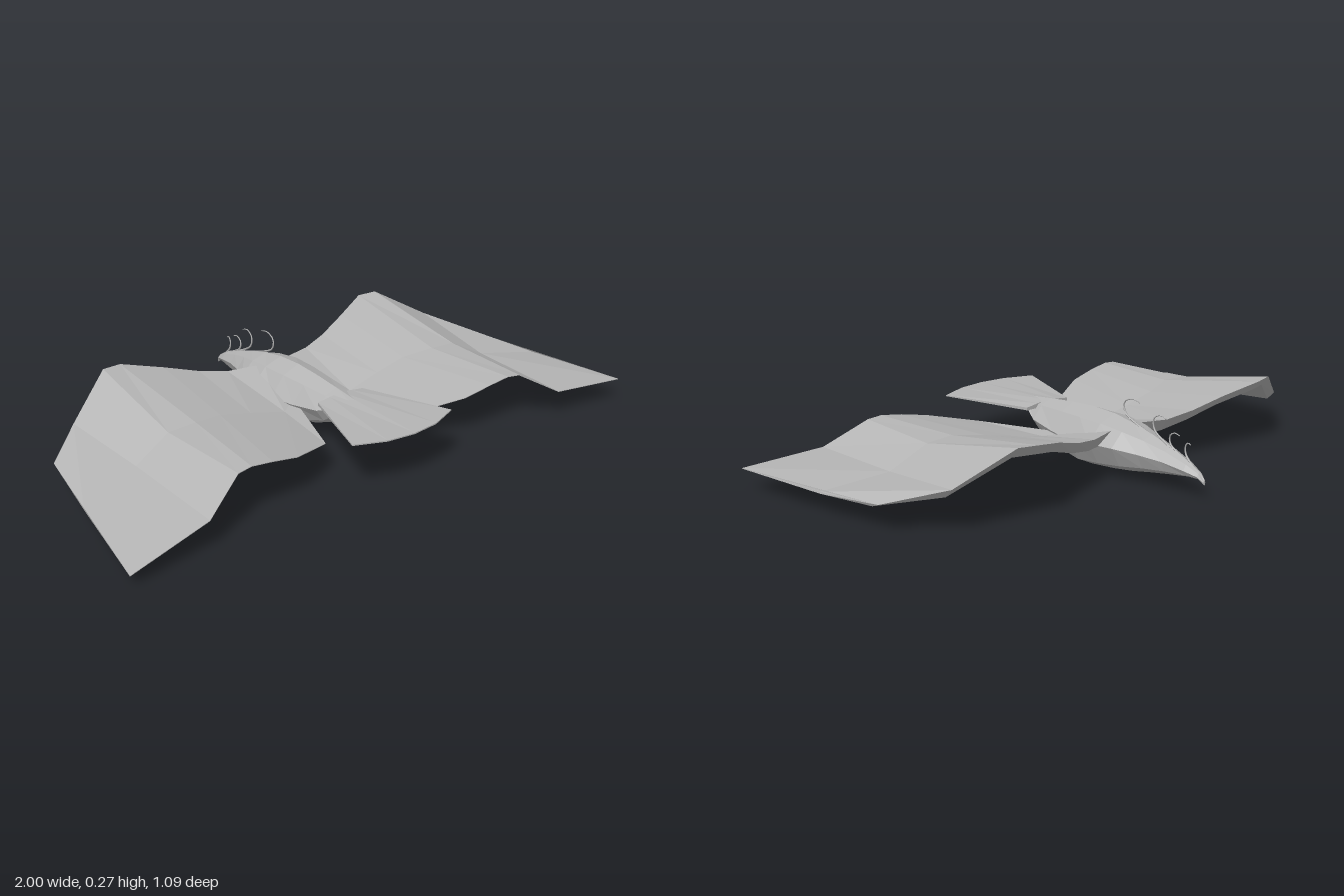
import * as THREE from 'three';

// Skin a series of equal-length closed rings, faceted, with capped ends.
function loft(rings, flip = false) {
  const pos = [];
  const n = rings[0].length;
  const tri = (a, b, c) => pos.push(...a, ...(flip ? c : b), ...(flip ? b : c));
  for (let i = 0; i < rings.length - 1; i++) {
    for (let j = 0; j < n; j++) {
      const k = (j + 1) % n;
      const [p, q] = [rings[i], rings[i + 1]];
      tri(p[j], p[k], q[k]);
      tri(p[j], q[k], q[j]);
    }
  }
  const [first, last] = [rings[0], rings[rings.length - 1]];
  for (let j = 1; j < n - 1; j++) {
    tri(first[0], first[j + 1], first[j]);
    tri(last[0], last[j], last[j + 1]);
  }
  const g = new THREE.BufferGeometry();
  g.setAttribute('position', new THREE.Float32BufferAttribute(pos, 3));
  g.computeVertexNormals();
  return g;
}

// Body sections from beak to rump: z, half width, top, side height, keel
const BODY = [
  [-0.545, 0.004, 0.065, 0.056, 0.046],
  [-0.525, 0.014, 0.085, 0.072, 0.062],
  [-0.48, 0.028, 0.11, 0.085, 0.06],
  [-0.4, 0.045, 0.14, 0.1, 0.048],
  [-0.32, 0.07, 0.165, 0.11, 0.035],
  [-0.24, 0.105, 0.185, 0.12, 0.02],
  [-0.15, 0.12, 0.2, 0.12, 0.008],
  [-0.05, 0.115, 0.205, 0.11, 0],
  [0.05, 0.1, 0.2, 0.115, 0.02],
  [0.16, 0.085, 0.19, 0.13, 0.066],
  [0.26, 0.04, 0.18, 0.165, 0.15],
];

function bodyGeometry() {
  return loft(BODY.map(([z, w, t, s, b]) => {
    const low = b + 0.32 * (s - b);
    const high = s + 0.72 * (t - s);
    return [
      [0, b, z], [0.65 * w, low, z], [w, s, z], [0.55 * w, high, z],
      [0, t, z], [-0.55 * w, high, z], [-w, s, z], [-0.65 * w, low, z],
    ];
  }));
}

// Wing stations from root to tip: leading edge, fold line, trailing edge
const LEAD = {
  left: [[0.06, 0.165, -0.2], [0.17, 0.163, -0.23], [0.27, 0.18, -0.26], [0.39, 0.217, -0.3],
    [0.52, 0.25, -0.355], [0.59, 0.254, -0.343], [0.77, 0.15, -0.26], [0.9, 0.09, -0.08]],
  right: [[0.06, 0.165, -0.2], [0.17, 0.16, -0.23], [0.27, 0.178, -0.257], [0.39, 0.212, -0.29],
    [0.53, 0.246, -0.332], [0.6, 0.25, -0.32], [0.77, 0.14, -0.22], [0.905, 0.09, -0.1]],
};
const FOLD = [[0.06, 0.11, 0], [0.14, 0.105, 0.06], [0.27, 0.135, 0.05], [0.39, 0.163, 0.05],
  [0.5, 0.18, 0.08], [0.6, 0.175, 0.08], [0.73, 0.108, 0.1], [0.943, 0.08, 0.16]];
const TRAIL = [[0.1, 0.09, 0.06], [0.18, 0.108, 0.33], [0.35, 0.147, 0.41], [0.45, 0.168, 0.42],
  [0.53, 0.18, 0.425], [0.58, 0.175, 0.43], [0.72, 0.096, 0.49], [1, 0.08, 0.522]];
const THICK = [0.05, 0.045, 0.04, 0.036, 0.036, 0.036, 0.03, 0.012];

function wingGeometry(side) {
  const sx = side === 'left' ? 1 : -1;
  const rings = LEAD[side].map((lead, i) => {
    const fold = [...FOLD[i]];
    const trail = [...TRAIL[i]];
    // the right wing tip droops a little lower
    if (side === 'right' && i === 7) { fold[1] -= 0.015; trail[1] = 0.04; }
    const [x, y, z] = lead;
    const ring = [
      lead, fold, trail,
      [trail[0], trail[1] - 0.002, trail[2]],
      [fold[0], fold[1] - 0.007, fold[2]],
      [x, y - THICK[i], z + 0.03],
    ];
    return ring.map(([px, py, pz]) => [sx * px, py, pz]);
  });
  return loft(rings, sx < 0);
}

// Flat tail fan
function tailGeometry() {
  const sections = [[-0.205, 0.49], [-0.1, 0.533], [0, 0.545], [0.1, 0.533], [0.205, 0.49]];
  return loft(sections.map(([x, z]) => {
    const lift = 0.012 * (1 - Math.abs(x) / 0.205);
    return [
      [0.46 * x, 0.17 + lift, 0.18], [x, 0.175, z],
      [x, 0.171, z], [0.46 * x, 0.16, 0.18],
    ];
  }));
}

// One curled crest plume rising from the head
function plumeGeometry([z, y, sweep, rise]) {
  const path = [[0, 0], [0.55, 0.22], [1, 0.5], [1.05, 0.82], [0.75, 1], [0.45, 0.93]]
    .map(([a, b]) => new THREE.Vector3(0, y + b * rise, z + a * sweep));
  const g = new THREE.TubeGeometry(new THREE.CatmullRomCurve3(path), 14, 0.0045, 5);
  // taper towards the curled tip
  const p = g.attributes.position;
  const curve = new THREE.CatmullRomCurve3(path);
  for (let i = 0; i < p.count; i++) {
    const u = Math.floor(i / 6) / 14;
    const c = curve.getPointAt(u);
    const v = new THREE.Vector3().fromBufferAttribute(p, i).sub(c).multiplyScalar(1 - 0.65 * u).add(c);
    p.setXYZ(i, v.x, v.y, v.z);
  }
  g.computeVertexNormals();
  return g;
}

export function createModel() {
  const model = new THREE.Group();
  model.name = 'bird';
  const grey = new THREE.MeshStandardMaterial({ color: 0xb4b4b4 });
  grey.name = 'plain grey';
  const add = (name, geometry, parent = model) => {
    const mesh = new THREE.Mesh(geometry, grey);
    mesh.name = name;
    parent.add(mesh);
  };

  add('body', bodyGeometry());
  add('leftWing', wingGeometry('left'));
  add('rightWing', wingGeometry('right'));
  add('tail', tailGeometry());

  // Crest: base z, base y, backward sweep, rise
  const crest = new THREE.Group();
  crest.name = 'crest';
  model.add(crest);
  const plumes = [[-0.5, 0.095, 0.035, 0.075], [-0.47, 0.11, 0.07, 0.08],
    [-0.42, 0.13, 0.09, 0.105], [-0.32, 0.16, 0.12, 0.105]];
  plumes.forEach((p, i) => add('crestPlume' + (i + 1), plumeGeometry(p), crest));
  return model;
}
